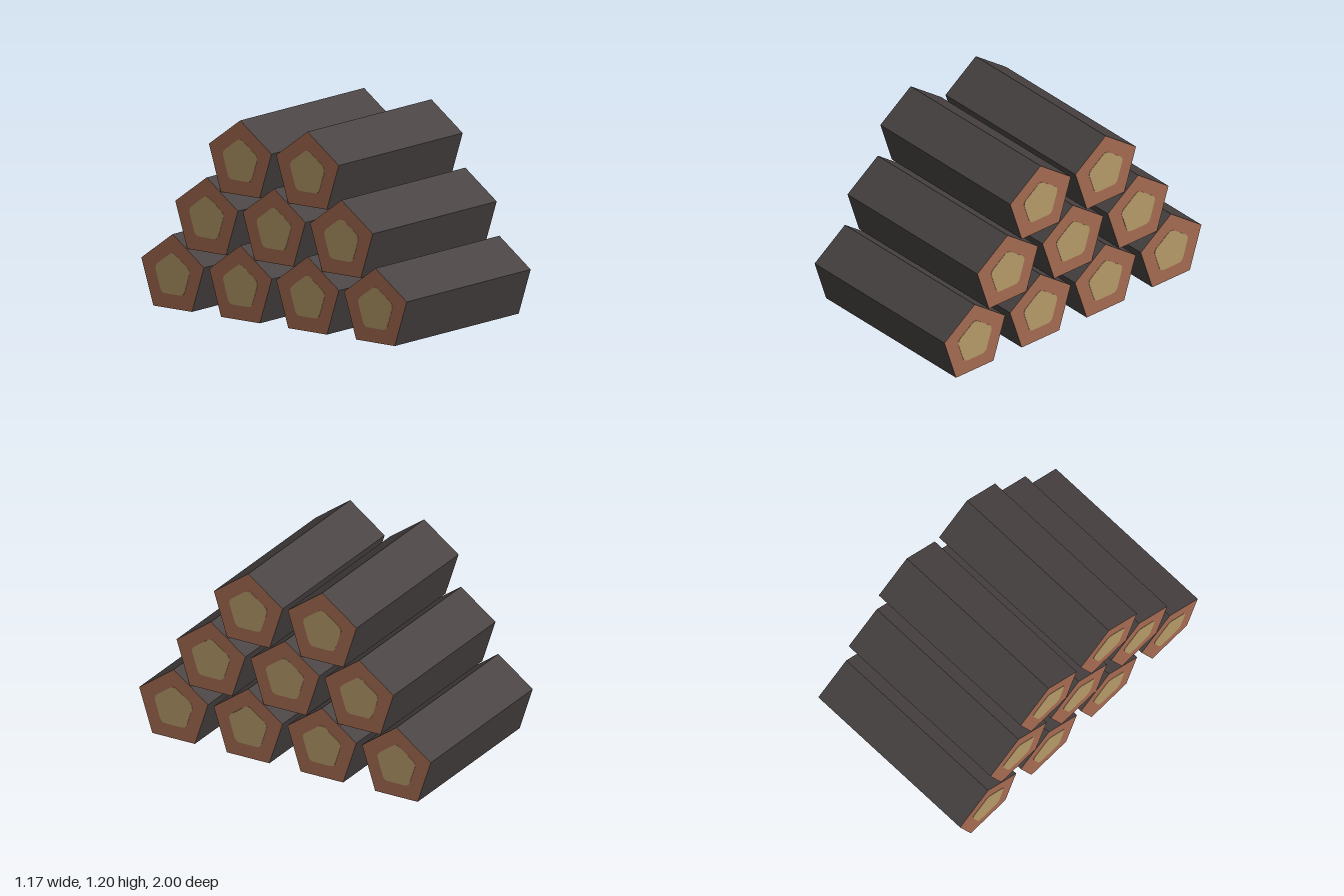
import * as THREE from 'three';

const LENGTH = 1.166, R = 0.248;

// Regular pentagon, apex up; corners rounded when round > 0
function pentagon(r, round = 0) {
  const p = [];
  for (let i = 0; i < 5; i++) {
    const a = Math.PI / 2 + (i * Math.PI * 2) / 5;
    p.push(new THREE.Vector2(Math.cos(a) * r, Math.sin(a) * r));
  }
  if (!round) return new THREE.Shape(p);
  const s = new THREE.Shape();
  p.forEach((c, i) => {
    const a = c.clone().lerp(p[(i + 4) % 5], round);
    const b = c.clone().lerp(p[(i + 1) % 5], round);
    if (i) s.lineTo(a.x, a.y); else s.moveTo(a.x, a.y);
    s.quadraticCurveTo(c.x, c.y, b.x, b.y);
  });
  s.closePath();
  return s;
}

// Extrusion centred on the origin and running along x
function prism(shape, depth) {
  const g = new THREE.ExtrudeGeometry(shape, { depth, bevelEnabled: false, curveSegments: 4 });
  g.translate(0, 0, -depth / 2);
  g.rotateY(Math.PI / 2);
  return g;
}

export function createModel() {
  const bark = new THREE.MeshStandardMaterial({ name: 'bark', color: 0x484242 });
  const cutWood = new THREE.MeshStandardMaterial({ name: 'cut wood', color: 0xa56a52 });
  const heartwood = new THREE.MeshStandardMaterial({ name: 'heartwood', color: 0xb59a68 });

  const logGeo = prism(pentagon(R), LENGTH);
  const coreGeo = prism(pentagon(0.142, 0.17), 0.004);

  const model = new THREE.Group();
  model.name = 'logPile';

  // Three stacked rows: height of the row's base and z of each log
  const rows = [
    { y: 0, z: [0.764, 0.253, -0.253, -0.764] },
    { y: 0.375, z: [0.508, 0, -0.508] },
    { y: 0.752, z: [0.252, -0.255] },
  ];
  for (const row of rows) {
    for (const z of row.z) {
      const log = new THREE.Group();
      log.name = 'log';
      log.position.set(0, row.y + R * Math.cos(Math.PI / 5), z);

      const trunk = new THREE.Mesh(logGeo, [cutWood, bark]); // caps, sides
      trunk.name = 'trunk';
      log.add(trunk);

      // Heartwood plate on both cut ends
      for (const side of [-1, 1]) {
        const core = new THREE.Mesh(coreGeo, heartwood);
        core.name = 'core';
        core.position.x = (side * LENGTH) / 2;
        log.add(core);
      }
      model.add(log);
    }
  }
  return model;
}
